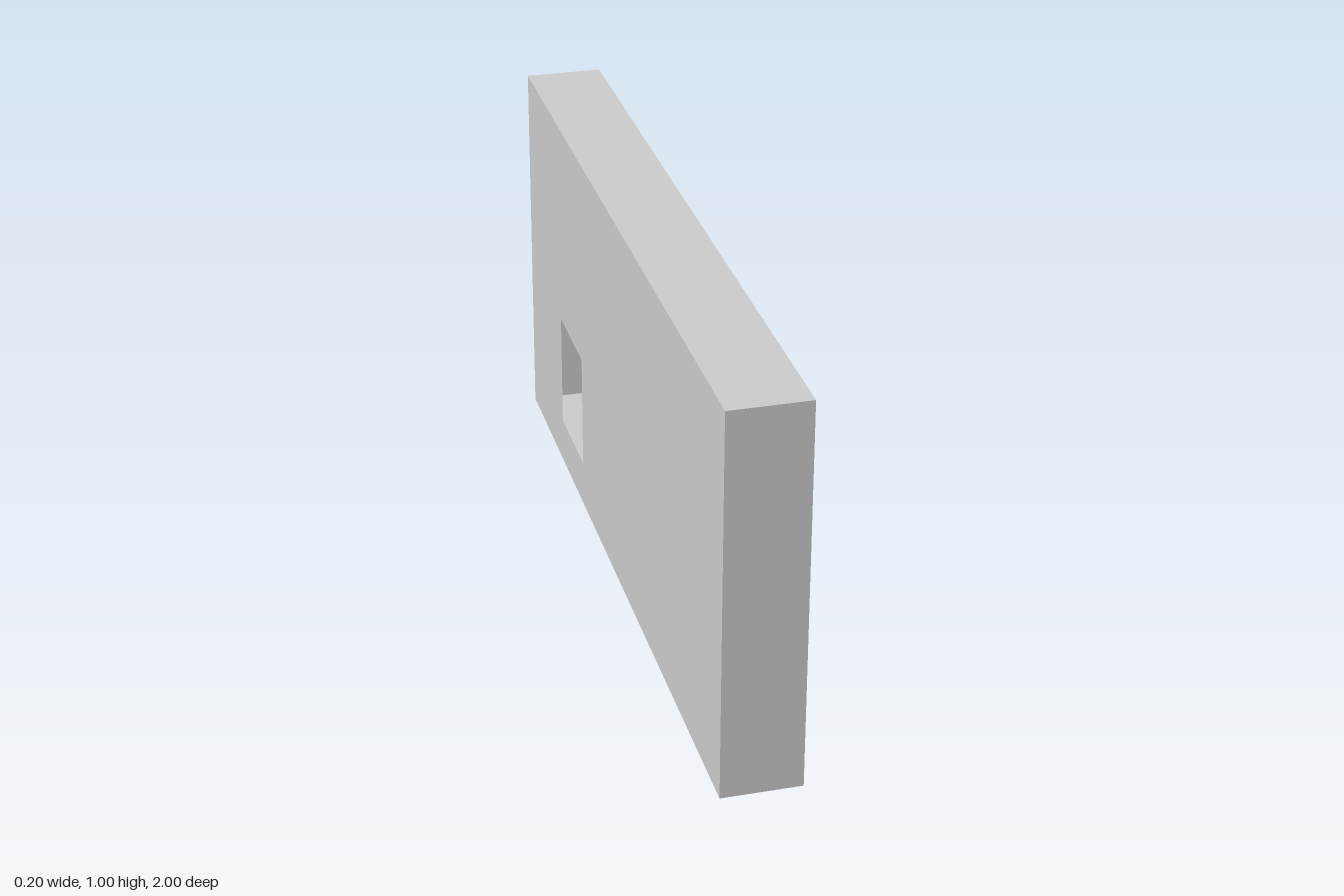
import * as THREE from 'three';

const LENGTH = 2, HEIGHT = 1, THICK = 0.2;
const HOLE = { z: -0.5, width: 0.25, bottom: 0.125, top: 0.4375 };

function rectangle(path, x0, y0, x1, y1) {
  path.moveTo(x0, y0);
  path.lineTo(x1, y0);
  path.lineTo(x1, y1);
  path.lineTo(x0, y1);
  path.closePath();
  return path;
}

export function createModel() {
  const group = new THREE.Group();
  group.name = 'wall';
  const material = new THREE.MeshStandardMaterial({ color: 0xcccccc, side: THREE.DoubleSide });

  const add = (name, geometry) => {
    const mesh = new THREE.Mesh(geometry, material);
    mesh.name = name;
    group.add(mesh);
    return mesh;
  };

  // Large side sheets of the hollow wall, each with a window opening
  for (const side of [1, -1]) {
    const centre = -side * HOLE.z;
    const half = HOLE.width / 2;
    const shape = rectangle(new THREE.Shape(), -LENGTH / 2, 0, LENGTH / 2, HEIGHT);
    shape.holes.push(rectangle(new THREE.Path(), centre - half, HOLE.bottom, centre + half, HOLE.top));
    const sheet = add(side > 0 ? 'leftSheet' : 'rightSheet', new THREE.ShapeGeometry(shape));
    sheet.rotation.y = side * Math.PI / 2;
    sheet.position.x = side * THICK / 2;
  }

  // Narrow end sheets
  for (const side of [1, -1]) {
    const end = add(side > 0 ? 'frontEnd' : 'backEnd', new THREE.PlaneGeometry(THICK, HEIGHT));
    end.rotation.y = side > 0 ? 0 : Math.PI;
    end.position.set(0, HEIGHT / 2, side * LENGTH / 2);
  }

  // Top and bottom sheets; the openings look straight into the hollow
  for (const side of [1, -1]) {
    const cap = add(side > 0 ? 'topSheet' : 'bottomSheet', new THREE.PlaneGeometry(THICK, LENGTH));
    cap.rotation.x = -side * Math.PI / 2;
    cap.position.y = side > 0 ? HEIGHT : 0;
  }

  return group;
}
